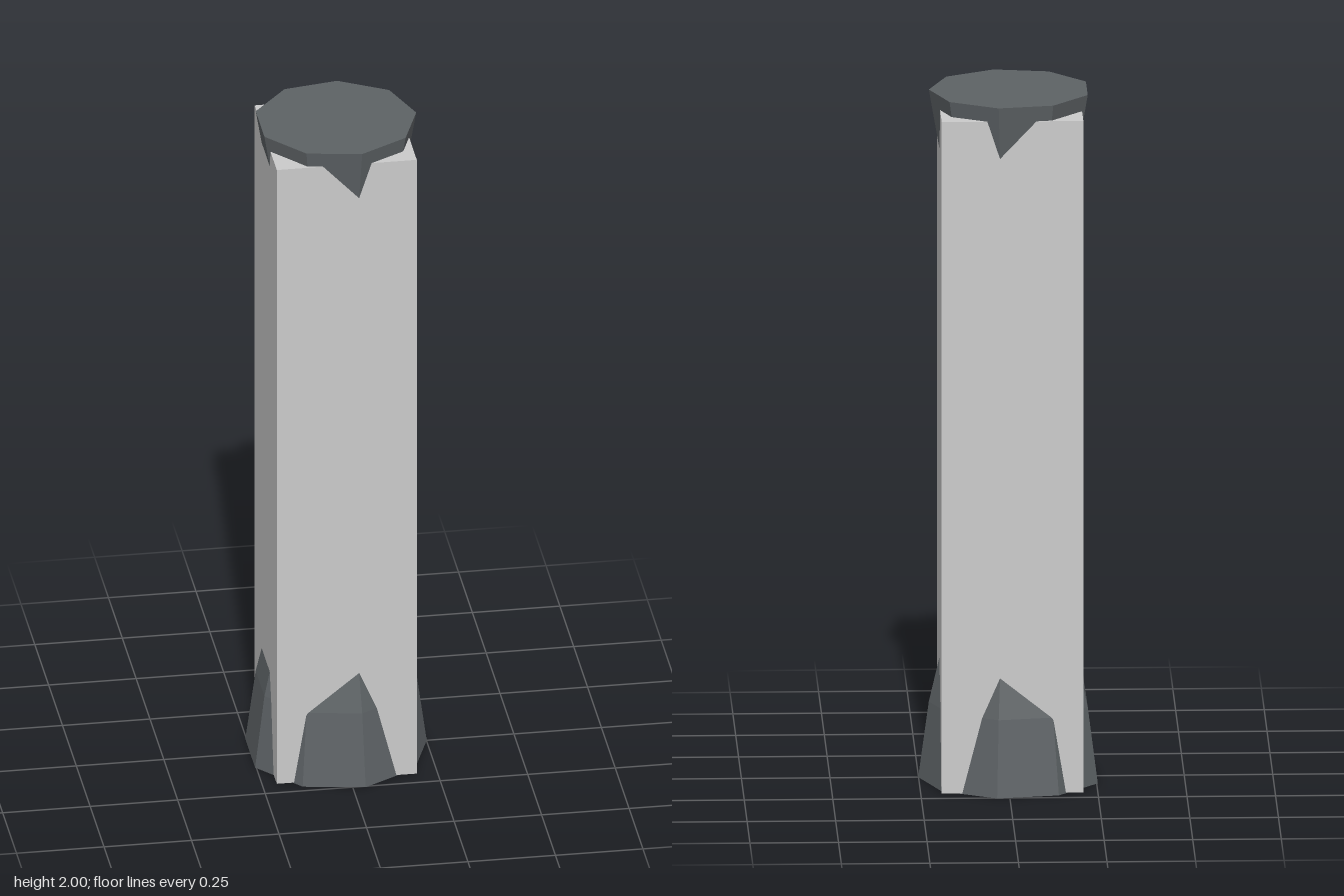
import * as THREE from 'three';

const CENTER_X = -0.009;

export function createModel() {
  const group = new THREE.Group();
  group.name = 'pillar';

  const stone = new THREE.MeshStandardMaterial({ color: 0xcbcbcb, flatShading: true });
  stone.name = 'light grey';
  const metal = new THREE.MeshStandardMaterial({ color: 0x5d6265, flatShading: true });
  metal.name = 'dark slate';

  // Square shaft, a hair above the floor so the foot covers its underside
  const bottom = 0.002, top = 1.955;
  const shaft = new THREE.Mesh(new THREE.BoxGeometry(0.4, top - bottom, 0.4), stone);
  shaft.name = 'shaft';
  shaft.position.set(CENTER_X, (top + bottom) / 2, 0);
  group.add(shaft);

  // Nine-sided turned part with one corner on +x; profile runs upwards
  function ninesided(name, profile) {
    const points = profile.map(([r, y]) => new THREE.Vector2(r, y));
    const mesh = new THREE.Mesh(new THREE.LatheGeometry(points, 9, Math.PI / 2), metal);
    mesh.name = name;
    mesh.position.x = CENTER_X;
    group.add(mesh);
  }

  // Foot and cap taper into the shaft, leaving pointed facets on its faces
  ninesided('foot', [[0, 0], [0.26, 0], [0.23, 0.22], [0.16, 0.52], [0, 0.52]]);
  ninesided('cap', [[0, 1.6], [0.16, 1.6], [0.23, 2], [0, 2]]);

  return group;
}
